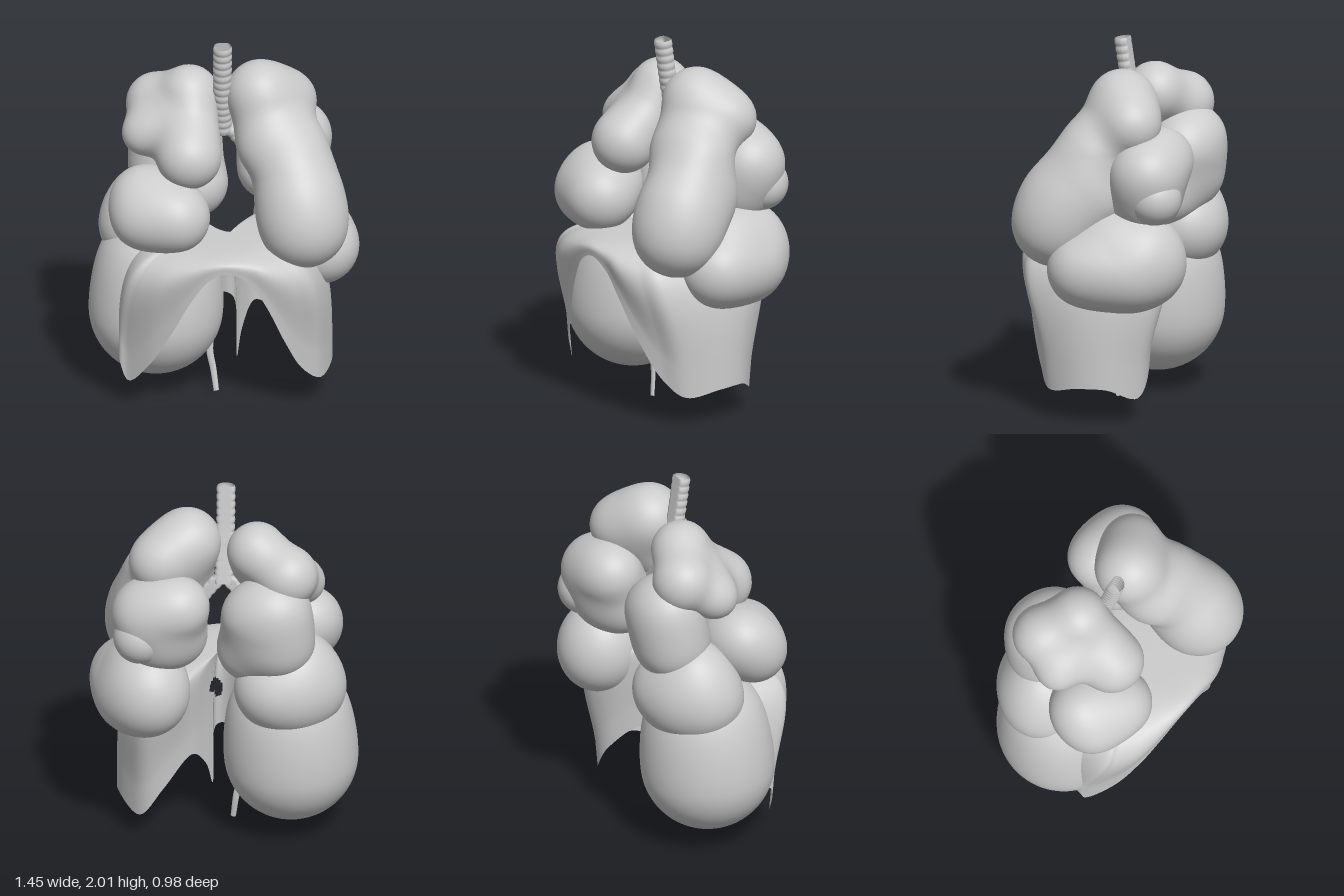
import * as THREE from 'three';

const tissue = new THREE.MeshStandardMaterial({ color: 0xcccccc, side: THREE.DoubleSide });
tissue.name = 'grey tissue';

// Smooth union distance of a list of balls [x, y, z, radius]
function blend(p, balls, k) {
  let d = Infinity;
  for (const [x, y, z, r] of balls) {
    const e = Math.hypot(p.x - x, p.y - y, p.z - z) - r;
    const h = d === Infinity ? 0 : Math.max(k - Math.abs(d - e), 0) / k;
    d = Math.min(d, e) - h * h * k * 0.25;
  }
  return d;
}

// Lobe: a sphere shrink-wrapped onto a group of blended balls
function lobe(name, centre, balls, k = 0.1) {
  const geo = new THREE.SphereGeometry(1, 88, 64);
  const pos = geo.attributes.position, nor = geo.attributes.normal;
  const c = new THREE.Vector3(...centre), dir = new THREE.Vector3();
  const p = new THREE.Vector3(), q = new THREE.Vector3(), n = new THREE.Vector3();
  for (let i = 0; i < pos.count; i++) {
    dir.fromBufferAttribute(pos, i).normalize();
    let t = 1.1;
    for (let s = 0; s < 70 && t > 0.02; s++) {
      const d = blend(p.copy(c).addScaledVector(dir, t), balls, k);
      if (d < 0.0005) break;
      t -= d;
    }
    p.copy(c).addScaledVector(dir, t);
    const d0 = blend(p, balls, k);
    for (const axis of ['x', 'y', 'z']) {
      q.copy(p)[axis] += 0.004;
      n[axis] = blend(q, balls, k) - d0;
    }
    n.normalize();
    pos.setXYZ(i, p.x, p.y, p.z);
    nor.setXYZ(i, n.x, n.y, n.z);
  }
  const mesh = new THREE.Mesh(geo, tissue);
  mesh.name = name;
  return mesh;
}

// Airway: a tube with cartilage ridges and a flattened back
function airway(name, points, radius, rings) {
  const curve = new THREE.CatmullRomCurve3(points.map(a => new THREE.Vector3(...a)));
  const segs = rings * 8, sides = 24;
  const geo = new THREE.TubeGeometry(curve, segs, radius, sides);
  const pos = geo.attributes.position, p = new THREE.Vector3();
  for (let i = 0; i < pos.count; i++) {
    const u = Math.floor(i / (sides + 1)) / segs;
    const c = curve.getPointAt(u);
    p.fromBufferAttribute(pos, i).sub(c);
    p.multiplyScalar(0.93 + 0.1 * Math.abs(Math.sin(Math.PI * rings * u)));
    p.z = Math.max(p.z, -radius * 0.6);
    p.add(c);
    pos.setXYZ(i, p.x, p.y, p.z);
  }
  geo.computeVertexNormals();
  const mesh = new THREE.Mesh(geo, tissue);
  mesh.name = name;
  return mesh;
}

// Diaphragm: a domed sheet stretched from its crown to an arched rim
function diaphragm() {
  const rim = new THREE.CatmullRomCurve3([
    [0, .88, .49], [.11, .82, .48], [.2, .68, .46], [.3, .45, .4], [.4, .25, .32], [.5, .16, .24],
    [.57, .19, .06], [.55, .19, -.1], [.43, .13, -.24], [.3, .3, -.26], [.16, .45, -.14],
    [.09, .34, -.02], [.06, .2, .04], [.045, .54, .03], [0, .57, .02],
    [-.1, .5, -.05], [-.25, .45, -.2], [-.45, .4, -.22], [-.55, .34, 0], [-.58, .3, .2],
    [-.53, .15, .22], [-.42, .28, .32], [-.3, .5, .4], [-.2, .7, .45], [-.1, .84, .48],
  ].map(a => new THREE.Vector3(...a)), true);
  const cols = 200, rows = 32, verts = [], index = [], midZ = 0.15;
  for (let i = 0; i < cols; i++) {
    const r = rim.getPoint(i / cols), drop = 0.96 - r.y;
    const belly = 0.19 * drop * THREE.MathUtils.clamp(r.z / 0.22, -1, 1);
    for (let j = 0; j <= rows; j++) {
      const a = (j / rows) * Math.PI / 2;
      const f = Math.sin(a) ** 0.45, g = Math.max(Math.cos(a), 0) ** 0.55;
      verts.push(r.x * f, r.y + drop * g, midZ + (r.z - midZ) * f + belly * Math.sin(2 * a));
    }
  }
  // Vessel opening in the rear wall
  const inHole = v => verts[v * 3 + 2] < 0.15
    && Math.hypot((verts[v * 3] - 0.04) / 0.032, (verts[v * 3 + 1] - 0.78) / 0.045) < 1;
  for (let i = 0; i < cols; i++) {
    for (let j = 0; j < rows; j++) {
      const a = i * (rows + 1) + j, b = ((i + 1) % cols) * (rows + 1) + j;
      if (inHole(a) || inHole(b)) continue;
      index.push(a, a + 1, b + 1, a, b + 1, b);
    }
  }
  const geo = new THREE.BufferGeometry();
  geo.setAttribute('position', new THREE.Float32BufferAttribute(verts, 3));
  geo.setIndex(index);
  geo.computeVertexNormals();
  const mesh = new THREE.Mesh(geo, tissue);
  mesh.name = 'diaphragm';
  return mesh;
}

// Tendon: a thin hanging strip tapering to its tip
function tendon() {
  const curve = new THREE.CatmullRomCurve3([
    [-.04, .5, 0], [-.085, .25, .02], [-.065, .12, .028], [-.05, .003, .045],
  ].map(a => new THREE.Vector3(...a)));
  const geo = new THREE.TubeGeometry(curve, 30, 0.024, 12);
  const pos = geo.attributes.position;
  for (let i = 0; i < pos.count; i++) {
    const u = Math.floor(i / 13) / 30, c = curve.getPointAt(u), w = 1 - 0.4 * u;
    pos.setXYZ(i, c.x + (pos.getX(i) - c.x) * w, Math.max(0, pos.getY(i)), c.z + (pos.getZ(i) - c.z) * 0.35);
  }
  geo.computeVertexNormals();
  const mesh = new THREE.Mesh(geo, tissue);
  mesh.name = 'tendon';
  return mesh;
}

export function createModel() {
  const model = new THREE.Group();
  model.name = 'lungs';

  // Left lung
  const left = new THREE.Group();
  left.name = 'leftLung';
  left.add(
    lobe('leftFrontLobe', [.32, 1.36, .05], [
      [.19, 1.69, -.07, .185], [.33, 1.61, -.16, .165], [.25, 1.52, -.02, .17], [.24, 1.43, .07, .17],
      [.37, 1.41, .06, .18], [.38, 1.22, .03, .18], [.39, 1.22, .18, .22], [.41, 1.06, .23, .24]], 0.12),
    lobe('leftRearLobe', [.3, 1.34, -.27], [
      [.22, 1.41, -.3, .17], [.38, 1.35, -.27, .2], [.24, 1.2, -.2, .17], [.34, 1.2, -.25, .16]], 0.12),
    lobe('leftRearLobule', [.42, 1.24, -.33], [[.42, 1.24, -.33, .145]]),
    lobe('leftLowerLobe', [.44, .88, -.12], [
      [.51, .84, .03, .205], [.47, .83, -.16, .215], [.38, .85, -.27, .21], [.38, .95, -.25, .18],
      [.42, .98, -.08, .16]], 0.12),
  );

  // Right lung
  const right = new THREE.Group();
  right.name = 'rightLung';
  right.add(
    lobe('rightUpperLobe', [-.26, 1.54, -.05], [
      [-.19, 1.67, -.12, .16], [-.36, 1.58, -.22, .165], [-.18, 1.53, 0, .14],
      [-.32, 1.5, -.06, .14], [-.44, 1.47, -.06, .11], [-.2, 1.41, .12, .175]], 0.1),
    lobe('rightMiddleLobe', [-.36, 1.12, .16], [
      [-.45, 1.18, .1, .16], [-.44, 1.09, .18, .18], [-.28, 1.1, .22, .19], [-.34, 1.14, .1, .17]], 0.1),
    lobe('rightRearLobe', [-.26, 1.28, -.25], [
      [-.3, 1.39, -.28, .195], [-.18, 1.35, -.26, .17], [-.17, 1.13, -.18, .19], [-.32, 1.2, -.26, .19]], 0.12),
    lobe('rightBasalLobe', [-.38, .93, -.18], [
      [-.28, .92, -.25, .2], [-.46, .9, -.15, .21], [-.42, 1.05, -.18, .17], [-.38, .9, -.21, .22]], 0.12),
    lobe('rightLowerLobe', [-.37, .52, -.07], [
      [-.37, .45, -.07, .36], [-.36, .67, -.08, .335]]),
  );

  // Windpipe and its two branches
  const pipe = new THREE.Group();
  pipe.name = 'windpipe';
  pipe.add(
    airway('trachea', [[-.015, 2, 0], [-.015, 1.75, -.04], [-.01, 1.46, -.1]], 0.05, 13),
    airway('leftBronchus', [[-.01, 1.51, -.095], [.05, 1.45, -.1], [.12, 1.36, -.1], [.22, 1.25, -.1]], 0.037, 8),
    airway('rightBronchus', [[-.01, 1.51, -.095], [-.07, 1.45, -.1], [-.14, 1.36, -.1], [-.24, 1.28, -.1]], 0.037, 8),
  );

  model.add(left, right, pipe, diaphragm(), tendon());
  return model;
}
